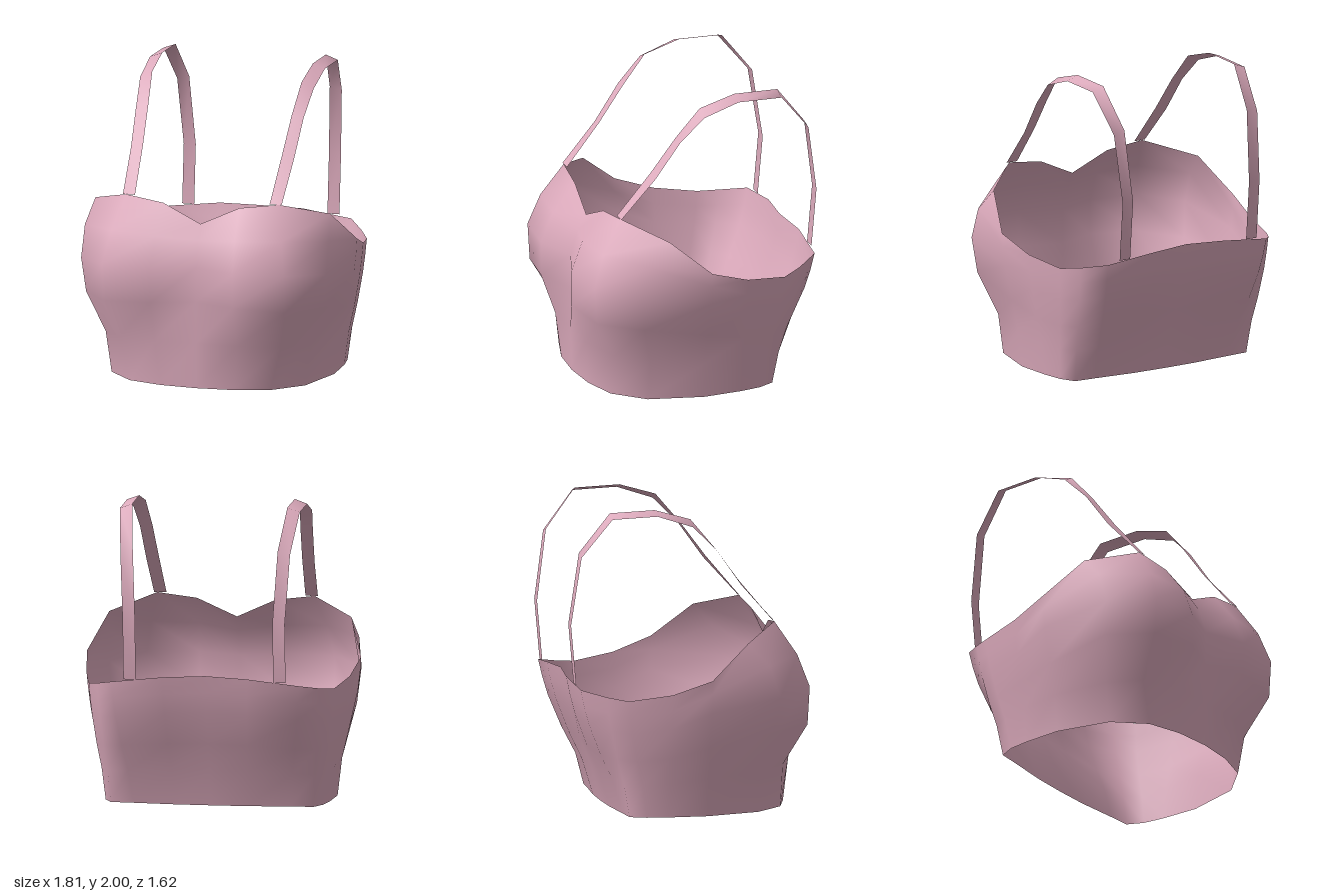
import * as THREE from 'three';

const material = new THREE.MeshStandardMaterial({ color: 0xdcaabc, side: THREE.DoubleSide });

// Smooth surface through a list of columns, each holding the same number of [x, y, z] points
function skin(columns, closed) {
  const rows = columns[0].length, n = columns.length, index = [];
  for (let c = 0; c < (closed ? n : n - 1); c++) {
    for (let r = 0; r < rows - 1; r++) {
      const a = c * rows + r, b = ((c + 1) % n) * rows + r;
      index.push(a, b, b + 1, a, b + 1, a + 1);
    }
  }
  const geometry = new THREE.BufferGeometry();
  geometry.setAttribute('position', new THREE.Float32BufferAttribute(columns.flat(2), 3));
  geometry.setIndex(index);
  geometry.computeVertexNormals();
  return geometry;
}

const mirror = ([x, y, z]) => [-x, y, z];

// Front half: columns from centre front to the side, hem to neckline, with the fold under the bust
const front = [
  [[0, 0, 0.70], [0, 0.30, 0.71], [0, 0.58, 0.71], [0, 0.81, 0.71], [0, 0.98, 0.66], [0, 1.08, 0.60]],
  [[0.25, 0, 0.68], [0.28, 0.30, 0.71], [0.28, 0.58, 0.81], [0.28, 0.81, 0.81], [0.27, 1.01, 0.73], [0.26, 1.20, 0.58]],
  [[0.48, 0, 0.61], [0.55, 0.29, 0.61], [0.62, 0.56, 0.76], [0.62, 0.81, 0.775], [0.58, 1.02, 0.70], [0.52, 1.235, 0.56]],
  [[0.66, 0, 0.42], [0.70, 0.27, 0.42], [0.81, 0.55, 0.50], [0.835, 0.78, 0.53], [0.83, 0.99, 0.46], [0.80, 1.14, 0.32]],
  [[0.75, 0, 0.06], [0.78, 0.25, 0.06], [0.83, 0.46, 0.06], [0.885, 0.70, 0.06], [0.90, 0.83, 0.06], [0.905, 0.92, 0.06]]
];

// Back half: only hem and top points are given, the rows between flare out
const backEdges = [
  [[0.74, 0, -0.20], [0.87, 0.83, -0.20]],
  [[0.72, 0, -0.34], [0.81, 0.79, -0.48]],
  [[0.67, 0, -0.445], [0.735, 0.81, -0.61]],
  [[0.52, 0, -0.455], [0.62, 0.845, -0.76]],
  [[0.24, 0, -0.48], [0.28, 0.885, -0.78]],
  [[0, 0, -0.485], [0, 0.895, -0.75]]
];
const rise = [0, 0.27, 0.48, 0.72, 0.87, 1], flare = [0, 0.24, 0.53, 0.80, 0.92, 1];
const back = backEdges.map(([hem, top]) => rise.map((t, i) => [
  THREE.MathUtils.lerp(hem[0], top[0], flare[i]),
  top[1] * t,
  THREE.MathUtils.lerp(hem[2], top[2], flare[i])
]));

// Strap stations from front to back: centre x, y, z and how far the outer edge tips down
const strapPath = [
  [0.50, 1.235, 0.56, 0], [0.515, 1.50, 0.33, 0.02], [0.53, 1.735, 0.16, 0.01],
  [0.55, 1.91, 0.0, 0.04], [0.555, 1.985, -0.24, 0.03], [0.553, 1.975, -0.54, 0.03],
  [0.52, 1.72, -0.74, 0.02], [0.495, 1.26, -0.805, 0], [0.495, 0.865, -0.77, 0]
];

export function createModel() {
  const group = new THREE.Group();
  const add = (name, geometry) => {
    const mesh = new THREE.Mesh(geometry, material);
    mesh.name = name;
    group.add(mesh);
  };

  // Bodice: half the columns, then their mirror images back to the start
  const half = [...front, ...back];
  const otherHalf = half.slice(1, -1).reverse().map(column => column.map(mirror));
  add('bodice', skin([...half, ...otherHalf], true));

  // Shoulder straps: flat ribbons
  const ribbon = strapPath.map(([x, y, z, tip]) => [
    [x + 0.041, y - tip / 2, z], [x - 0.041, y + tip / 2, z]
  ]);
  add('leftStrap', skin(ribbon, false));
  add('rightStrap', skin(ribbon.map(pair => pair.map(mirror).reverse()), false));
  return group;
}
